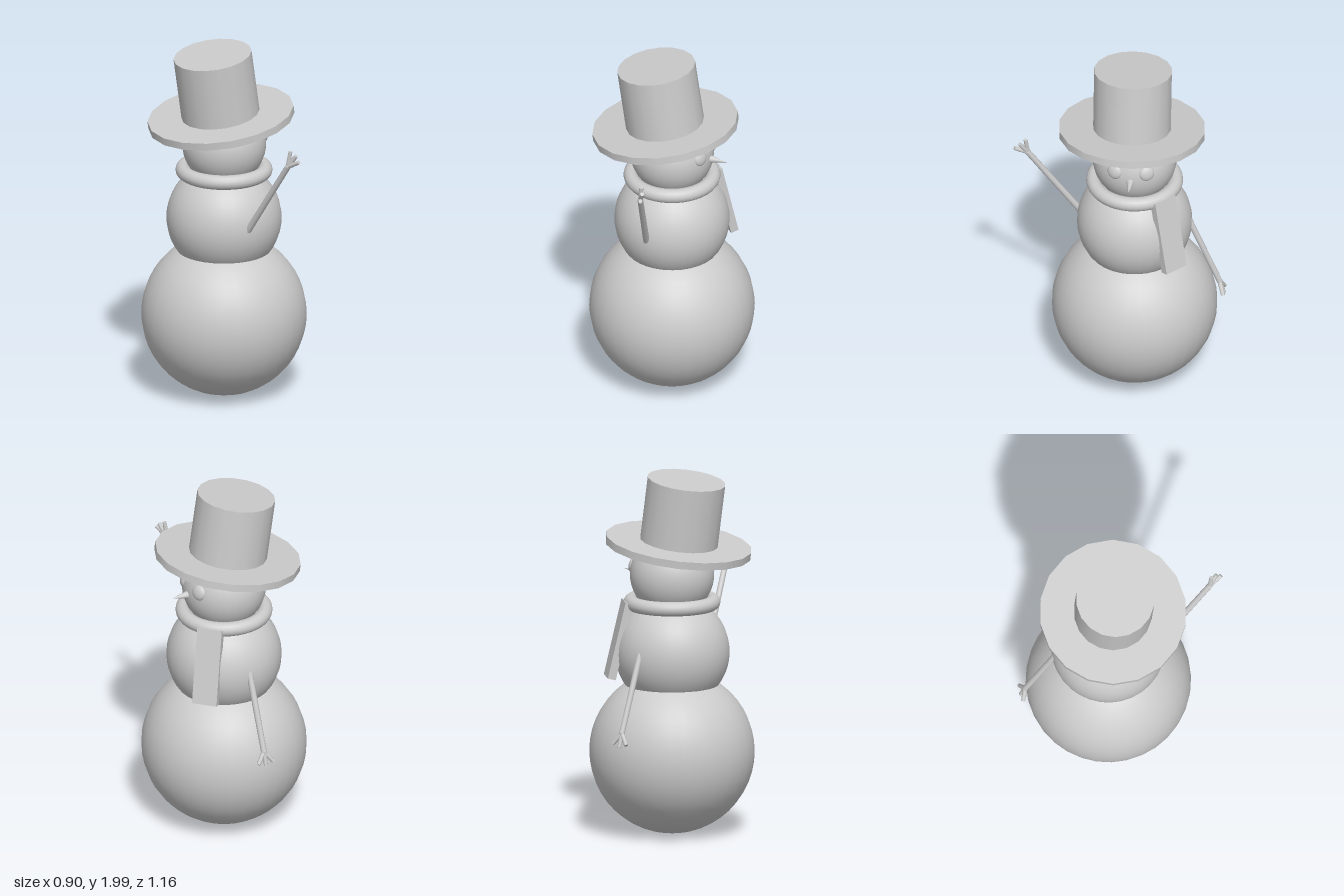
import * as THREE from 'three';

const v = (x, y, z) => new THREE.Vector3(x, y, z);
const AXIS_Z = -0.08; // z of the body's vertical axis

export function createModel() {
  const model = new THREE.Group();
  model.name = 'snowman';
  const material = new THREE.MeshStandardMaterial({ color: 0xcccccc });

  function add(name, geometry, position, parent = model) {
    const mesh = new THREE.Mesh(geometry, material);
    mesh.name = name;
    mesh.position.copy(position);
    parent.add(mesh);
    return mesh;
  }

  // Straight twig between two points
  function twig(name, from, to, r0, r1, parent) {
    const dir = to.clone().sub(from);
    const mesh = add(name, new THREE.CylinderGeometry(r1, r0, dir.length(), 10),
      from.clone().lerp(to, 0.5), parent);
    mesh.quaternion.setFromUnitVectors(v(0, 1, 0), dir.normalize());
  }

  // Three snowballs
  const ball = (name, r, y) => add(name, new THREE.SphereGeometry(r, 32, 24), v(0, y, AXIS_Z));
  ball('bottomBall', 0.452, 0.457);
  ball('middleBall', 0.315, 1.01);
  ball('head', 0.23, 1.437);

  // Eyes: flattened spheres lying on the head
  for (const side of [-1, 1]) {
    const normal = v(0.2, 0.046, side * 0.088);
    const eye = add(side > 0 ? 'rightEye' : 'leftEye', new THREE.SphereGeometry(0.043, 20, 14),
      v(0, 1.437, AXIS_Z).add(normal));
    eye.scale.z = 0.5;
    eye.quaternion.setFromUnitVectors(v(0, 0, 1), normal.clone().normalize());
  }

  // Nose, pointing along +x
  const nose = add('nose', new THREE.ConeGeometry(0.025, 0.11, 16), v(0.265, 1.435, AXIS_Z));
  nose.rotation.z = -Math.PI / 2;

  // Scarf: ring and hanging tail
  const ring = add('scarfRing', new THREE.TorusGeometry(0.225, 0.04, 16, 40), v(0, 1.285, AXIS_Z));
  ring.rotation.x = Math.PI / 2;
  const tailPivot = new THREE.Group();
  tailPivot.name = 'scarfTail';
  tailPivot.position.set(0, 0, AXIS_Z);
  tailPivot.rotation.y = Math.PI / 4;
  model.add(tailPivot);
  const tail = add('scarfTailCloth', new THREE.BoxGeometry(0.045, 0.43, 0.14), v(0.295, 1.085, 0), tailPivot);
  tail.rotation.z = 0.23;

  // Tilted top hat
  const hat = new THREE.Group();
  hat.name = 'hat';
  hat.position.set(-0.031, 1.598, -0.062);
  hat.rotation.z = 0.147;
  model.add(hat);
  add('hatBrim', new THREE.CylinderGeometry(0.402, 0.402, 0.042, 18), v(0, 0, 0), hat).rotation.y = -0.06;
  add('hatCrown', new THREE.CylinderGeometry(0.215, 0.215, 0.372, 18), v(0, 0.186, 0), hat).rotation.y = -0.06;

  // Stick arms with three fingers each
  function arm(name, shoulder, wrist, tips) {
    const group = new THREE.Group();
    group.name = name;
    model.add(group);
    twig('stick', shoulder, wrist, 0.018, 0.016, group);
    add('wrist', new THREE.SphereGeometry(0.016, 10, 8), wrist, group);
    for (const tip of tips) twig('finger', wrist, tip, 0.013, 0.011, group);
  }
  arm('raisedArm', v(-0.04, 0.98, 0.19), v(0.045, 1.46, 0.502),
    [v(0.072, 1.5, 0.572), v(0.072, 1.53, 0.545), v(0.055, 1.55, 0.513)]);
  arm('loweredArm', v(0, 1.13, -0.34), v(0, 0.625, -0.547),
    [v(-0.045, 0.565, -0.57), v(0, 0.55, -0.572), v(0.045, 0.565, -0.57)]);

  return model;
}
